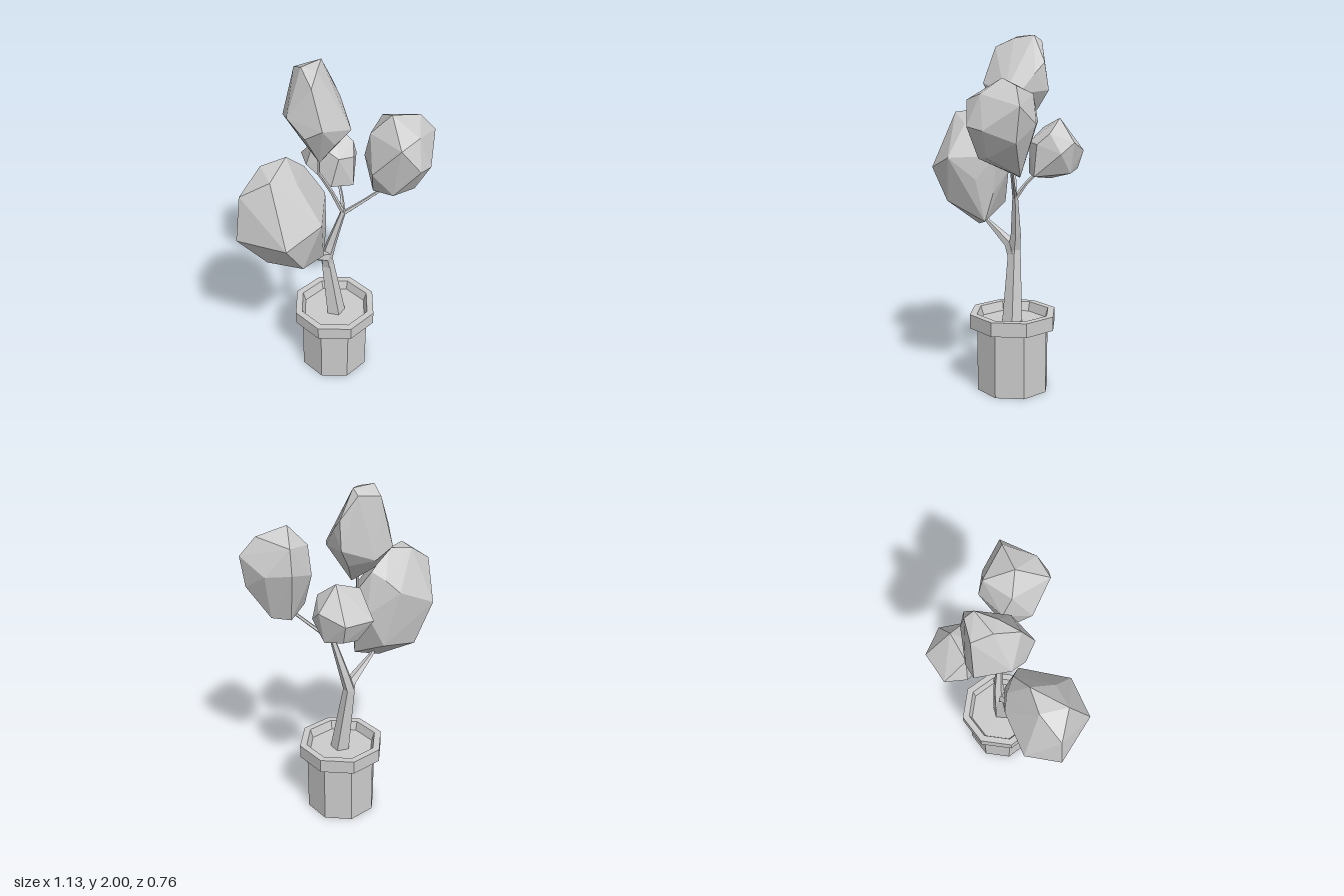
import * as THREE from 'three';
import { ConvexGeometry } from 'three/addons/geometries/ConvexGeometry.js';

const material = new THREE.MeshStandardMaterial({ color: 0xcccccc, flatShading: true });

function part(name, geometry) {
  const mesh = new THREE.Mesh(geometry, material);
  mesh.name = name;
  return mesh;
}

// Tapered limb: rings of `sides` corners at each [x, y, z, radius], closed at both ends
function limb(stations, sides = 5) {
  const centres = stations.map(([x, y, z]) => new THREE.Vector3(x, y, z));
  const last = centres.length - 1;
  const up = new THREE.Vector3(0, 1, 0);
  const positions = [];
  const index = [];
  centres.forEach((centre, i) => {
    const along = centres[Math.min(i + 1, last)].clone().sub(centres[Math.max(i - 1, 0)]).normalize();
    const turn = new THREE.Quaternion().setFromUnitVectors(up, along);
    for (let k = 0; k < sides; k++) {
      const a = (k / sides) * Math.PI * 2;
      const corner = new THREE.Vector3(Math.sin(a), 0, Math.cos(a)).multiplyScalar(stations[i][3]);
      positions.push(...corner.applyQuaternion(turn).add(centre).toArray());
    }
  });
  for (let i = 0; i < last; i++) {
    for (let k = 0; k < sides; k++) {
      const a = i * sides + k;
      const b = i * sides + ((k + 1) % sides);
      index.push(a, b, b + sides, a, b + sides, a + sides);
    }
  }
  for (let k = 1; k < sides - 1; k++) {
    index.push(0, k + 1, k);
    index.push(last * sides, last * sides + k, last * sides + k + 1);
  }
  const geometry = new THREE.BufferGeometry();
  geometry.setAttribute('position', new THREE.Float32BufferAttribute(positions, 3));
  geometry.setIndex(index);
  geometry.computeVertexNormals();
  return geometry;
}

// Faceted leaf cluster wrapped around a few corner points
function cluster(points) {
  return new ConvexGeometry(points.map((p) => new THREE.Vector3(...p)));
}

export function createModel() {
  const model = new THREE.Group();
  model.name = 'pottedTree';

  // Eight-sided pot with a thick rim and sunken soil
  const profile = [
    [0, 0], [0.211, 0], [0.211, 0.37], [0.254, 0.37], [0.254, 0.45], [0.213, 0.45], [0.195, 0.395],
  ].map(([r, y]) => new THREE.Vector2(r, y));
  const pot = part('pot', new THREE.LatheGeometry(profile, 8));
  const soil = part('soil', new THREE.CylinderGeometry(0.196, 0.196, 0.02, 8));
  soil.position.y = 0.387;
  const planter = new THREE.Group();
  planter.name = 'planter';
  planter.position.set(0.05, 0, 0.005);
  planter.add(pot, soil);
  model.add(planter);

  // Trunk and branches
  const limbs = {
    trunk: [[0.052, 0.39, 0.01, 0.06], [0.004, 0.8, -0.018, 0.037], [0.033, 0.9, -0.017, 0.03], [0.1, 1.14, 0.008, 0.015]],
    rightBranch: [[0.008, 0.75, -0.012, 0.033], [-0.012, 0.835, 0.005, 0.033], [-0.16, 0.94, 0.09, 0.014], [-0.24, 1.03, 0.13, 0.012]],
    leftBranch: [[0.095, 1.115, 0.008, 0.014], [0.2, 1.2, 0.05, 0.01], [0.33, 1.31, 0.1, 0.009]],
    topBranch: [[0.1, 1.11, 0.008, 0.014], [0.03, 1.27, -0.005, 0.011], [-0.045, 1.41, -0.01, 0.01], [-0.04, 1.54, -0.02, 0.009]],
    backBranch: [[0.098, 1.11, 0.008, 0.014], [0.11, 1.19, -0.05, 0.01], [0.12, 1.28, -0.14, 0.009]],
  };
  for (const [name, stations] of Object.entries(limbs)) model.add(part(name, limb(stations)));

  // Leaf clusters
  const clusters = {
    rightFoliage: [
      [-0.39, 1.585, 0.08], [-0.39, 1.575, 0.23], [-0.25, 1.6, 0.07], [-0.24, 1.51, 0.21], [-0.135, 1.49, 0.02],
      [-0.2, 1.45, -0.03], [-0.53, 1.485, 0.16], [-0.565, 1.23, 0.17], [-0.495, 1.28, -0.015],
      [-0.275, 1.38, -0.06], [-0.37, 1.25, 0.38], [-0.16, 1.32, 0.33], [-0.04, 1.335, 0.075],
      [-0.06, 1.12, 0.09], [-0.08, 1.2, 0.19], [-0.1, 1.25, -0.015], [-0.075, 0.955, 0.135],
      [-0.225, 0.92, 0.13], [-0.405, 1.02, 0.02], [-0.41, 1.04, 0.17], [-0.26, 1.06, 0.315], [-0.2, 1.05, -0.025],
    ],
    topFoliage: [
      [-0.11, 2, -0.07], [0.02, 2, -0.125], [0.01, 1.97, -0.175], [-0.11, 1.96, -0.175], [-0.105, 1.94, 0.06],
      [-0.04, 1.985, -0.03], [0.1, 1.85, -0.16], [0.115, 1.79, -0.1], [-0.213, 1.77, -0.01],
      [-0.15, 1.68, 0.075], [-0.175, 1.7, -0.185], [-0.075, 1.64, -0.205], [0.1, 1.7, -0.185],
      [0.127, 1.68, -0.005], [0.106, 1.68, 0.07], [-0.08, 1.74, 0.14], [0.01, 1.62, 0.09],
      [-0.05, 1.49, 0.02], [0, 1.48, -0.04], [0.05, 1.6, -0.14], [-0.1, 1.57, -0.12],
    ],
    leftFoliage: [
      [0.3, 1.76, 0.14], [0.475, 1.72, 0.12], [0.565, 1.62, 0.13], [0.2, 1.655, 0.1], [0.325, 1.68, -0.02],
      [0.39, 1.68, 0.28], [0.27, 1.65, 0.32], [0.375, 1.52, 0.347], [0.465, 1.5, 0.29],
      [0.17, 1.47, 0.205], [0.195, 1.5, 0.05], [0.325, 1.54, -0.045], [0.46, 1.53, 0.01],
      [0.54, 1.44, 0.14], [0.22, 1.31, 0.12], [0.315, 1.25, 0.05],
      [0.42, 1.265, 0.08], [0.27, 1.35, 0.26], [0.4, 1.36, 0.25],
    ],
    backFoliage: [
      [0.145, 1.55, -0.235], [0, 1.495, -0.19], [0.22, 1.47, -0.15], [0.14, 1.37, -0.38], [-0.03, 1.36, -0.32],
      [0.25, 1.42, -0.28], [0.263, 1.36, -0.2], [0.195, 1.41, -0.085], [0.1, 1.42, -0.075],
      [-0.045, 1.35, -0.2], [0.1, 1.215, -0.2], [0.19, 1.235, -0.07], [0.06, 1.245, -0.085],
      [0.22, 1.25, -0.27], [0.05, 1.25, -0.3], [0.14, 1.27, -0.345],
    ],
  };
  for (const [name, points] of Object.entries(clusters)) model.add(part(name, cluster(points)));

  return model;
}
